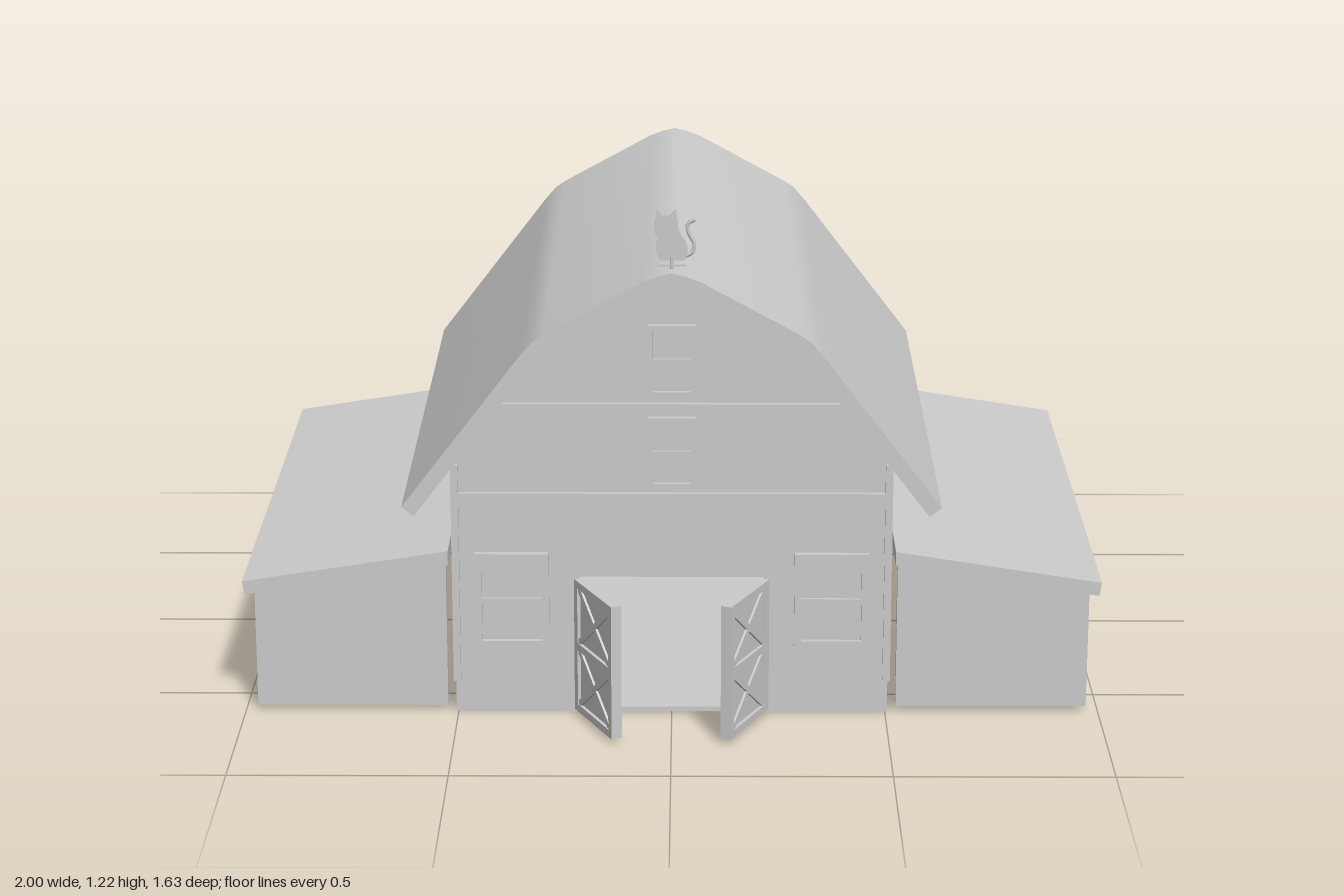
import * as THREE from 'three';
import { toCreasedNormals } from 'three/addons/utils/BufferGeometryUtils.js';

const material = new THREE.MeshStandardMaterial({ color: 0xcccccc });

function add(parent, name, geometry) {
  const mesh = new THREE.Mesh(geometry, material);
  mesh.name = name;
  parent.add(mesh);
  return mesh;
}

// Box given by its limits on each axis
function box(parent, name, x0, x1, y0, y1, z0, z1) {
  const g = new THREE.BoxGeometry(Math.abs(x1 - x0), y1 - y0, z1 - z0);
  g.translate((x0 + x1) / 2, (y0 + y1) / 2, (z0 + z1) / 2);
  return add(parent, name, g);
}

const toShape = (pts) => new THREE.Shape(pts.map(([x, y]) => new THREE.Vector2(x, y)));

// Outline in x, y pushed from z0 to z1
function slab(parent, name, shape, z0, z1) {
  const g = new THREE.ExtrudeGeometry(shape, { depth: z1 - z0, bevelEnabled: false, curveSegments: 8 });
  g.translate(0, 0, z0);
  return add(parent, name, toCreasedNormals(g, 0.6));
}

// Half profile (eave to ridge) completed by its mirror image
const mirrored = (half) => [...half, ...half.slice(0, -1).reverse().map(([x, y]) => [-x, y])];

// Flat bar between two points in x, y
function bar(parent, name, a, b, width, z0, z1) {
  const dx = b[0] - a[0], dy = b[1] - a[1];
  const mesh = add(parent, name, new THREE.BoxGeometry(Math.hypot(dx, dy), width, z1 - z0));
  mesh.position.set((a[0] + b[0]) / 2, (a[1] + b[1]) / 2, (z0 + z1) / 2);
  mesh.rotation.z = Math.atan2(dy, dx);
}

// Rectangular frame of four bars
function frame(parent, name, x0, x1, y0, y1, w, z0, z1) {
  const g = new THREE.Group();
  g.name = name;
  box(g, 'frameSide', x0, x0 + w, y0, y1, z0, z1);
  box(g, 'frameSide', x1 - w, x1, y0, y1, z0, z1);
  box(g, 'frameRail', x0 + w, x1 - w, y0, y0 + w, z0, z1);
  box(g, 'frameRail', x0 + w, x1 - w, y1 - w, y1, z0, z1);
  parent.add(g);
  return g;
}

function addWindow(parent, name, x0, x1, y0, y1, w) {
  const g = frame(parent, name, x0, x1, y0, y1, w, 0.609, 0.625);
  const mid = (y0 + y1) / 2;
  box(g, 'windowPane', x0 + w, x1 - w, y0 + w, y1 - w, 0.608, 0.613);
  box(g, 'windowBar', x0 + w, x1 - w, mid - 0.004, mid + 0.004, 0.609, 0.62);
}

// Open door leaf with crossed braces on both faces
function addDoor(parent, s) {
  const door = new THREE.Group();
  door.name = s > 0 ? 'leftDoor' : 'rightDoor';
  const L = 0.21, y0 = 0.012, y1 = 0.335, mid = (y0 + y1) / 2, w = 0.018;
  box(door, 'doorPanel', 0, L, y0, y1, -0.005, 0.005);
  frame(door, 'doorFrame', 0, L, y0, y1, w, -0.013, 0.013);
  box(door, 'doorRail', w, L - w, mid - w / 2, mid + w / 2, -0.013, 0.013);
  for (const [a, b] of [[y0 + w, mid - w / 2], [mid + w / 2, y1 - w]]) {
    bar(door, 'doorBrace', [w, a], [L - w, b], 0.014, -0.011, 0.011);
    bar(door, 'doorBrace', [w, b], [L - w, a], 0.014, -0.0105, 0.0105);
  }
  door.position.set(s * 0.215, 0, 0.62);
  door.rotation.y = Math.atan2(-0.19, -s * 0.09);
  parent.add(door);
}

// Open shed along one side of the barn
function addShed(parent, s) {
  const shed = new THREE.Group();
  shed.name = s > 0 ? 'leftShed' : 'rightShed';
  const side = (pts) => toShape(pts.map(([x, y]) => [s * x, y]));
  slab(shed, 'shedRoof', side([[0.52, 0.395], [1, 0.32], [0.995, 0.288], [0.52, 0.362]]), -0.755, 0.605);
  const end = side([[0.525, 0.012], [0.972, 0.012], [0.972, 0.294], [0.525, 0.364]]);
  slab(shed, 'shedFrontWall', end, 0.585, 0.603);
  slab(shed, 'shedBackWall', end, -0.75, -0.73);
  for (const [z, w] of [[0.565, 0.04], [0.142, 0.027], [-0.28, 0.027], [-0.705, 0.04]])
    box(shed, 'shedPost', s * 0.938, s * 0.965, 0.006, 0.3, z - w / 2, z + w / 2);
  parent.add(shed);
}

// Thin cat silhouette on a short rod
function addWeathervane(parent) {
  const vane = new THREE.Group();
  vane.name = 'weathervane';
  const z = 0.628;
  const rod = add(vane, 'vaneRod', new THREE.CylinderGeometry(0.004, 0.004, 0.05, 8));
  rod.position.set(0, 1.085, z);
  box(vane, 'vaneBar', -0.032, 0.032, 1.086, 1.091, z - 0.003, z + 0.003);
  const cat = new THREE.Shape();
  cat.moveTo(-0.025, 1.1);
  cat.quadraticCurveTo(-0.042, 1.12, -0.03, 1.15);
  cat.quadraticCurveTo(-0.046, 1.17, -0.036, 1.192);
  cat.lineTo(-0.034, 1.219);
  cat.lineTo(-0.02, 1.204);
  cat.lineTo(-0.002, 1.206);
  cat.lineTo(0.01, 1.218);
  cat.lineTo(0.014, 1.185);
  cat.quadraticCurveTo(0.014, 1.168, 0.024, 1.155);
  cat.quadraticCurveTo(0.044, 1.13, 0.03, 1.1);
  slab(vane, 'vaneCat', cat, z - 0.003, z + 0.003);
  const tail = new THREE.CatmullRomCurve3([[0.025, 1.108], [0.046, 1.118], [0.051, 1.138], [0.038, 1.165],
    [0.037, 1.185], [0.052, 1.195]].map(([x, y]) => new THREE.Vector3(x, y, 0)));
  const tailMesh = add(vane, 'vaneTail', new THREE.TubeGeometry(tail, 20, 0.005, 6));
  tailMesh.scale.z = 0.6;
  tailMesh.position.z = z;
  parent.add(vane);
}

export function createModel() {
  const barn = new THREE.Group();
  barn.name = 'barn';

  // Gambrel roof with softly rounded breaks
  const outer = [[0.62, 0.525], [0.345, 0.885], [0.315, 0.92], [0.29, 0.937], [0.065, 1.06], [0.03, 1.073], [0, 1.08]];
  const inner = [[0.592, 0.503], [0.31, 0.872], [0.285, 0.9], [0.265, 0.913], [0.05, 1.02], [0.02, 1.032], [0, 1.036]];
  slab(barn, 'mainRoof', toShape([...mirrored(outer), ...mirrored(inner).reverse()]), -0.815, 0.67);

  // Hollow barn body
  const gable = [[0.505, 0.617], ...inner.slice(1)];
  const outline = [[0.505, 0], ...mirrored(gable), [-0.505, 0]];
  slab(barn, 'backWall', toShape(outline), -0.755, -0.735);
  const doorway = [[-0.215, 0], [-0.215, 0.335], [0.215, 0.335], [0.215, 0]];
  slab(barn, 'frontWall', toShape([...outline, ...doorway]), 0.59, 0.61);
  box(barn, 'floor', -0.505, 0.505, 0, 0.012, -0.755, 0.61);
  for (const s of [1, -1]) {
    box(barn, 'sideWall', s * 0.485, s * 0.505, 0.012, 0.617, -0.735, 0.59);
    box(barn, 'cornerBoard', s * 0.493, s * 0.51, 0.08, 0.61, 0.595, 0.622);
  }

  // Front trim, windows and loft hatches
  box(barn, 'lowerTrim', -0.493, 0.493, 0.525, 0.542, 0.609, 0.622);
  box(barn, 'upperTrim', -0.4, 0.4, 0.738, 0.758, 0.609, 0.622);
  addWindow(barn, 'rightWindow', -0.457, -0.285, 0.165, 0.395, 0.016);
  addWindow(barn, 'leftWindow', 0.285, 0.457, 0.165, 0.395, 0.016);
  addWindow(barn, 'lowerLoftHatch', -0.055, 0.055, 0.555, 0.725, 0.012);
  addWindow(barn, 'upperLoftHatch', -0.055, 0.055, 0.775, 0.945, 0.012);

  for (const s of [1, -1]) {
    addDoor(barn, s);
    addShed(barn, s);
  }
  addWeathervane(barn);
  return barn;
}
